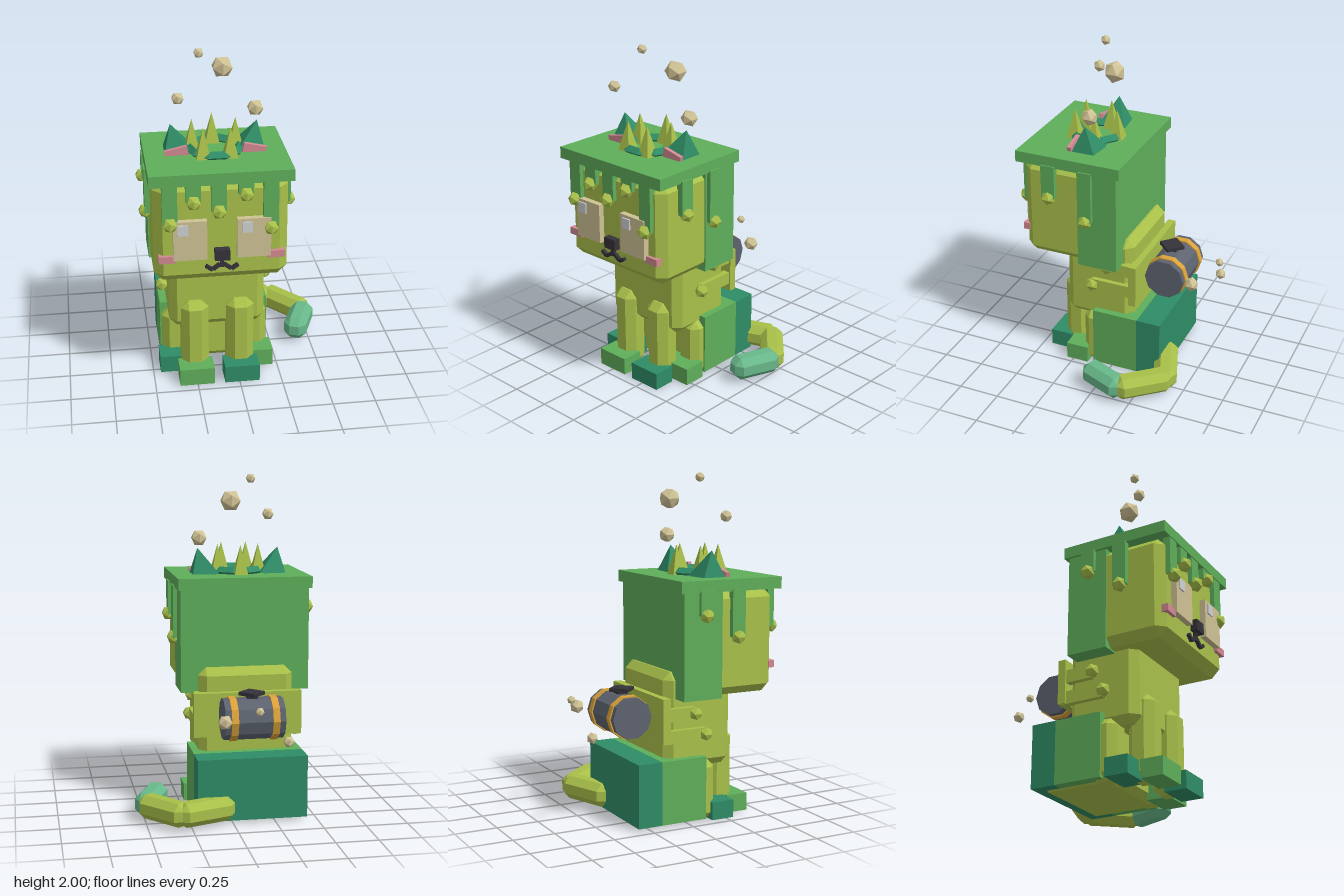
import * as THREE from 'three';
import { ConvexGeometry } from 'three/addons/geometries/ConvexGeometry.js';

const CX = -0.118; // the body's line of symmetry

function makeMaterials() {
  const colors = {
    moss: 0xa8c04a, leaf: 0x5fae5b, teal: 0x2f8c66, mint: 0x68b88a, pink: 0xd28a92,
    sand: 0xcfc294, white: 0xced2d4, charcoal: 0x35333a, slate: 0x5d636f, amber: 0xdba23a,
  };
  const mats = {};
  for (const [name, color] of Object.entries(colors)) {
    mats[name] = new THREE.MeshStandardMaterial({ color, flatShading: true });
    mats[name].name = name;
  }
  return mats;
}

// Box with every edge cut by a single flat chamfer
function chamferBox(w, h, d, c) {
  const pts = [];
  for (const sx of [-1, 1]) for (const sy of [-1, 1]) for (const sz of [-1, 1]) {
    const x = w / 2, y = h / 2, z = d / 2;
    pts.push(new THREE.Vector3(sx * x, sy * (y - c), sz * (z - c)));
    pts.push(new THREE.Vector3(sx * (x - c), sy * y, sz * (z - c)));
    pts.push(new THREE.Vector3(sx * (x - c), sy * (y - c), sz * z));
  }
  return new ConvexGeometry(pts);
}

export function createModel() {
  const M = makeMaterials();
  const model = new THREE.Group();
  model.name = 'slimeCat';

  const add = (name, geo, mat, x, y, z, parent = model) => {
    const mesh = new THREE.Mesh(geo, mat);
    mesh.name = name;
    mesh.position.set(x, y, z);
    parent.add(mesh);
    return mesh;
  };
  // Boxes given by their limits; a chamfer above 0 cuts the edges
  const box = (name, mat, [x0, x1], [y0, y1], [z0, z1], c = 0) => {
    const w = x1 - x0, h = y1 - y0, d = z1 - z0;
    const geo = c ? chamferBox(w, h, d, c) : new THREE.BoxGeometry(w, h, d);
    return add(name, geo, mat, (x0 + x1) / 2, (y0 + y1) / 2, (z0 + z1) / 2);
  };
  const ball = (name, mat, r, x, y, z) => add(name, new THREE.IcosahedronGeometry(r, 0), mat, x, y, z);

  // Body and hindquarters
  box('body', M.moss, [-0.398, 0.165], [0.315, 0.88], [-0.122, 0.31], 0.045);
  box('hips', M.moss, [-0.41, 0.175], [0.005, 0.36], [-0.29, 0.16], 0.04);
  box('hipCoverFront', M.leaf, [-0.443, 0.207], [0.015, 0.385], [-0.17, 0.115]);
  box('hipCoverBack', M.teal, [-0.443, 0.207], [0.015, 0.385], [-0.32, -0.17]);

  // Legs and paws
  for (const s of [-1, 1]) {
    const fx = CX + s * 0.134, hx = CX + s * 0.235;
    box('frontLeg', M.moss, [fx - 0.081, fx + 0.081], [0.005, 0.5], [0.205, 0.365], 0.045);
    box('frontPaw', s > 0 ? M.teal : M.leaf, [fx - 0.103, fx + 0.103], [0, 0.105], [0.31, 0.445]);
    box('hindLeg', M.moss, [hx - 0.08, hx + 0.08], [0.005, 0.355], [0.03, 0.19], 0.04);
    box('hindPaw', s > 0 ? M.leaf : M.teal, [hx - 0.105, hx + 0.105], [0.005, 0.11], [0.15, 0.29]);
  }

  // Tail of three jointed lengths
  const tail = [
    [0.0, -0.29, 0.335, -0.41, M.moss],
    [0.285, -0.425, 0.51, -0.16, M.moss],
    [0.505, -0.205, 0.392, 0.072, M.mint],
  ];
  for (const [x0, z0, x1, z1, mat] of tail) {
    const length = Math.hypot(x1 - x0, z1 - z0);
    const seg = add('tailSegment', chamferBox(0.14, 0.14, length, 0.04), mat, (x0 + x1) / 2, 0.093, (z0 + z1) / 2);
    seg.rotation.y = Math.atan2(x1 - x0, z1 - z0);
  }

  // Head, hood and cap
  box('head', M.moss, [-0.495, 0.258], [0.74, 1.345], [-0.02, 0.53], 0.05);
  box('hood', M.leaf, [-0.502, 0.266], [0.73, 1.345], [-0.065, 0.18]);
  box('cap', M.leaf, [-0.517, 0.281], [1.34, 1.408], [-0.09, 0.562]);

  // Slime drips hanging from the cap, each ending in a drop
  const frontDrips = [[-0.405, 1.115], [-0.275, 1.24], [-0.135, 1.18], [0.015, 1.275], [0.154, 1.067]];
  for (const [x, y] of frontDrips) {
    box('frontDrip', M.leaf, [x - 0.042, x + 0.042], [y, 1.35], [0.515, 0.557]);
    ball('frontDrop', M.moss, 0.044, x, y, 0.56);
  }
  const sideDrips = [[1, 0.355, 1.145], [1, 0.125, 1.035], [-1, 0.07, 1.21], [-1, 0.275, 1.08]];
  for (const [s, z, y] of sideDrips) {
    const x = CX + s * 0.388;
    box('sideDrip', M.leaf, [x - 0.02, x + 0.02], [y, 1.35], [z - 0.042, z + 0.042]);
    ball('sideDrop', M.moss, 0.044, x + s * 0.013, y, z);
  }

  // Face
  for (const s of [-1, 1]) {
    const ex = CX + s * 0.178;
    box('eye', M.sand, [ex - 0.094, ex + 0.094], [0.895, 1.13], [0.52, 0.565]);
    const gx = ex - 0.04;
    box('eyeHighlight', M.white, [gx - 0.029, gx + 0.029], [1.05, 1.113], [0.565, 0.574]);
    const cx = CX + s * 0.305;
    box('cheek', M.pink, [cx - 0.048, cx + 0.048], [0.875, 0.917], [0.51, 0.55]);
    const inner = add('mouth', new THREE.BoxGeometry(0.05, 0.02, 0.03), M.charcoal, CX + s * 0.031, 0.835, 0.535);
    inner.rotation.z = -s * 0.65;
    const outer = add('mouthCorner', new THREE.BoxGeometry(0.045, 0.02, 0.03), M.charcoal, CX + s * 0.072, 0.83, 0.535);
    outer.rotation.z = s * 0.6;
  }
  box('nose', M.charcoal, [CX - 0.042, CX + 0.042], [0.885, 0.95], [0.52, 0.572]);
  box('noseStem', M.charcoal, [CX - 0.011, CX + 0.011], [0.835, 0.89], [0.52, 0.55]);

  // Ears leaning outward, each with a pink inner strip
  for (const s of [-1, 1]) {
    const ear = new THREE.Group();
    ear.name = 'ear';
    ear.position.set(CX + s * 0.208, 1.395, 0.187);
    ear.rotation.z = -s * 0.22;
    model.add(ear);
    const cone = new THREE.ConeGeometry(0.118, 0.17, 4).rotateY(Math.PI / 4);
    add('earCone', cone, M.teal, 0, 0.085, 0, ear);
    add('innerEar', new THREE.BoxGeometry(0.13, 0.06, 0.025), M.pink, s * 0.005, 0.025, 0.085, ear);
  }

  // Crown: a low ring with five spikes
  const ring = new THREE.TorusGeometry(0.138, 0.03, 4, 10).rotateX(Math.PI / 2);
  add('crownRing', ring, M.teal, CX, 1.42, 0.223);
  for (let i = 0; i < 5; i++) {
    const a = (i / 5) * Math.PI * 2;
    const spike = new THREE.ConeGeometry(0.058, 0.175, 4).rotateY(Math.PI / 4);
    add('crownSpike', spike, M.moss, CX + Math.sin(a) * 0.13, 1.495, 0.223 - Math.cos(a) * 0.13);
  }

  // Back plate with drips running forward along the flanks
  box('backPlate', M.moss, [-0.44, 0.204], [0.48, 0.742], [-0.162, -0.115]);
  const flankDrips = [[1, 0.7, 0.03], [1, 0.562, 0.127], [-1, 0.642, 0.05], [-1, 0.515, 0.12]];
  for (const [s, y, z] of flankDrips) {
    const x = CX + s * 0.291;
    box('flankDrip', M.moss, [x - 0.021, x + 0.021], [y - 0.038, y + 0.038], [-0.16, z]);
    ball('flankDrop', M.moss, 0.042, x + s * 0.017, y, z);
  }

  // Barrel on the back
  const barrel = new THREE.Group();
  barrel.name = 'barrel';
  barrel.position.set(CX, 0.617, -0.283);
  model.add(barrel);
  const drum = (r, len) => new THREE.CylinderGeometry(r, r, len, 10).rotateZ(Math.PI / 2);
  add('barrelDrum', drum(0.122, 0.35), M.slate, 0, 0, 0, barrel);
  for (const s of [-1, 1]) add('barrelBand', drum(0.13, 0.04), M.amber, s * 0.12, 0, 0, barrel);
  const plate = new THREE.BoxGeometry(0.112, 0.02, 0.112).rotateY(Math.PI / 4);
  add('barrelPlate', plate, M.charcoal, 0, 0.142, 0.017, barrel);
  add('barrelPlateMount', new THREE.BoxGeometry(0.06, 0.03, 0.06), M.charcoal, 0, 0.122, 0.01, barrel);

  // Floating crumbs above the head and behind the barrel
  const crumbs = [
    [-0.2, 1.97, 0.2, 0.03], [-0.055, 1.845, 0.08, 0.065], [-0.328, 1.75, 0.3, 0.037], [0.122, 1.623, 0.158, 0.05],
    [0.073, 0.64, -0.465, 0.044], [-0.28, 0.53, -0.528, 0.034], [-0.103, 0.72, -0.576, 0.026],
  ];
  for (const [x, y, z, r] of crumbs) ball('crumb', M.sand, r, x, y, z);

  return model;
}
